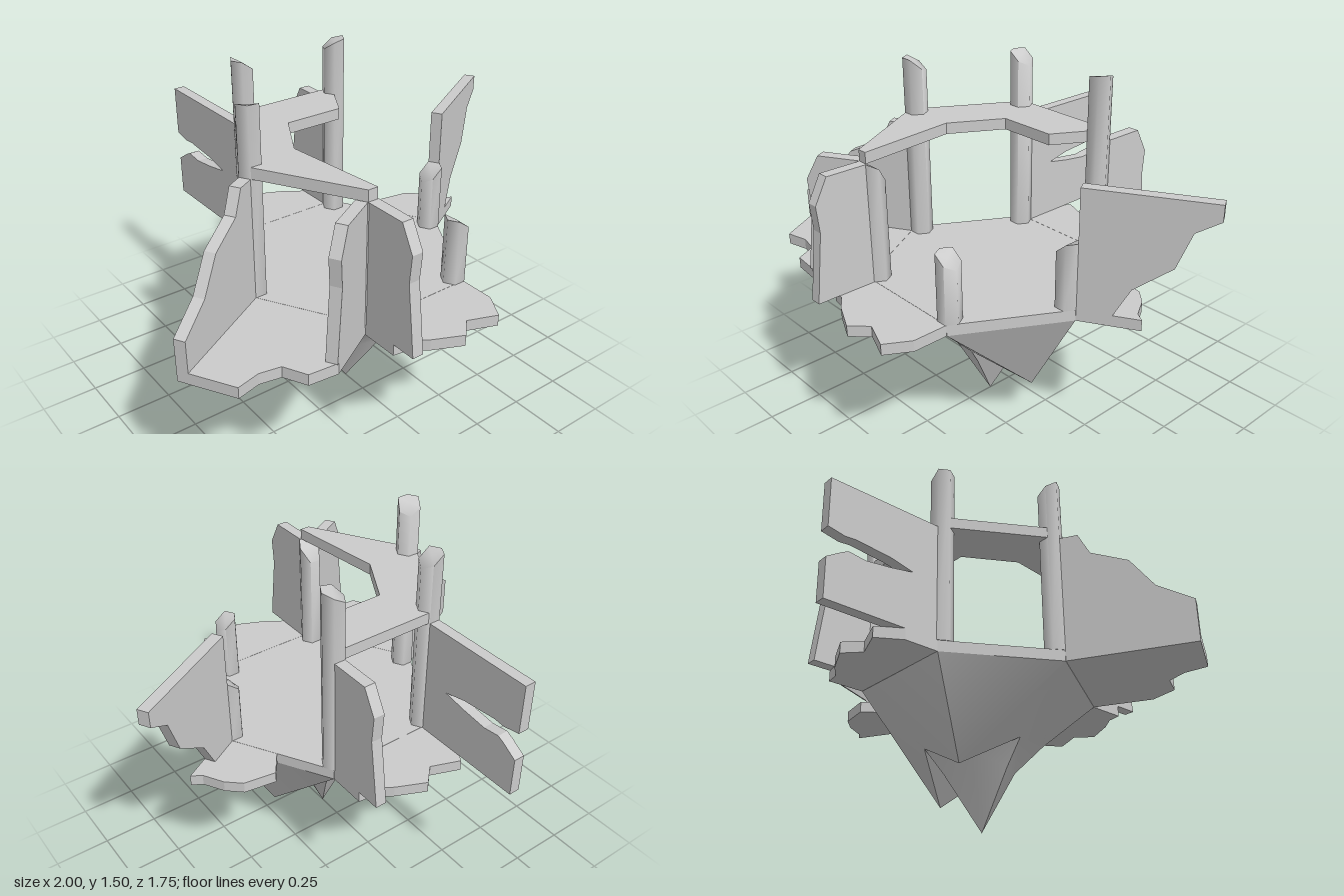
import * as THREE from 'three';
import { toCreasedNormals } from 'three/addons/utils/BufferGeometryUtils.js';

const CZ = 0.12;        // centre of the hexagon in z
const R = 0.53;         // hexagon corner radius
const APO = 0.46;       // hexagon centre to side
const FLOOR = 0.66, SLAB = 0.05, WALL_TOP = 1.2;
const mat = new THREE.MeshStandardMaterial({ color: 0xcccccc });
const matBoth = new THREE.MeshStandardMaterial({ color: 0xcccccc, side: THREE.DoubleSide });

function mesh(name, geo, material = mat) {
  const m = new THREE.Mesh(geo, material);
  m.name = name;
  return m;
}

function extrude(points, depth) {
  const shape = new THREE.Shape(points.map(p => new THREE.Vector2(p[0], p[1])));
  return new THREE.ExtrudeGeometry(shape, { depth, bevelEnabled: false });
}

// Flat slab from an (x, z) outline, with its top at the given height
function plate(name, points, top) {
  const g = extrude(points, SLAB);
  g.rotateX(Math.PI / 2);
  g.translate(0, top, 0);
  return mesh(name, g);
}

// Upright panel from an (outward, y) outline, standing along a cell side
function wall(name, points, x) {
  const g = extrude(points, 0.05);
  g.rotateY(-Math.PI / 2);
  g.translate(x + 0.025, 0, APO);
  return mesh(name, g);
}

// Hexagonal column whose top is a slanted break
function pillar(name, x, z, high, low, dir) {
  const g = new THREE.CylinderGeometry(0.052, 0.052, high - FLOOR, 6, 1);
  g.rotateY(Math.PI / 6);
  g.translate(0, (high + FLOOR) / 2, 0);
  const p = g.attributes.position;
  for (let i = 0; i < p.count; i++) {
    if (p.getY(i) < FLOOR + 0.01) continue;
    const t = (p.getX(i) * Math.cos(dir) + p.getZ(i) * Math.sin(dir)) / 0.052;
    p.setY(i, high - (high - low) * Math.max(0, 0.35 - t) / 1.35);
  }
  const m = mesh(name, toCreasedNormals(g, 1.1));
  m.position.set(x, 0, z);
  return m;
}

// Hanging rock: one central spike and side spikes on every other corner
function rock() {
  const peaks = { 0: [0.28, 0.17, 0.15, 0.35], 2: [0.28, 0.40, 0.15, 0.27], 4: [0.28, 0.22, 0.15, 0.33] };
  const y0 = FLOOR - SLAB;
  const pos = [], index = [];
  for (let k = 0; k < 6; k++) {
    const [r1, y1, r2, y2] = peaks[k] || [0.25, 0.36, 0.165, 0.25];
    const a = k * Math.PI / 3, c = Math.cos(a), s = Math.sin(a);
    for (const [r, y] of [[R, y0], [r1, y1], [r2, y2]]) pos.push(r * c, y, r * s);
  }
  pos.push(0, 0, 0);
  for (let k = 0; k < 6; k++) {
    const a = k * 3, b = ((k + 1) % 6) * 3;
    for (let j = 0; j < 2; j++) {
      // split each quad from the corner that carries the spike
      if (k % 2 === 0) index.push(a + j, b + j, a + j + 1, b + j, b + j + 1, a + j + 1);
      else index.push(a + j, b + j, b + j + 1, a + j, b + j + 1, a + j + 1);
    }
    index.push(a + 2, b + 2, 18);
  }
  const g = new THREE.BufferGeometry();
  g.setAttribute('position', new THREE.Float32BufferAttribute(pos, 3));
  g.setIndex(index);
  return mesh('hangingRock', toCreasedNormals(g, 0.7), matBoth);
}

// Panel outlines: distance outward, height
const brokenWall = [[0, FLOOR], [0.28, FLOOR], [0.265, 0.78], [0.24, 0.97], [0.25, 1.09], [0.19, WALL_TOP], [0, WALL_TOP]];
const slopedWall = [[0, FLOOR], [0.54, FLOOR], [0.54, 0.8], [0.39, 0.89], [0.29, 1.03], [0.13, 1.1], [0.08, WALL_TOP], [0, WALL_TOP]];
const overhangWall = [[0, FLOOR], [0.15, FLOOR], [0.22, 0.79], [0.38, 0.91], [0.44, 1.07], [0.54, 1.13], [0.54, WALL_TOP], [0, WALL_TOP]];
const splitWall = [[0, FLOOR], [0.54, FLOOR], [0.54, 0.84], [0.47, 0.885], [0.44, 0.9], [0.36, 0.89], [0.24, 0.905],
  [0.13, 0.925], [0.24, 0.95], [0.41, 0.965], [0.46, 0.96], [0.54, 0.975], [0.54, WALL_TOP], [0, WALL_TOP]];

// Broken floor edges: sideways, distance outward
const raggedFloor = [[-0.265, 0.17], [-0.2, 0.18], [-0.13, 0.23], [0, 0.29], [0.07, 0.22], [0.2, 0.27], [0.265, 0.16]];
const wideFloor = [[-0.265, 0.54], [-0.01, 0.54], [0.02, 0.44], [0.08, 0.37], [0.19, 0.375], [0.265, 0.27]];
const smallFloor = [[-0.265, 0.27], [-0.22, 0.245], [-0.12, 0.245], [-0.04, 0.22], [0.05, 0.11], [0, 0]];

// Ruined side rooms: name, turn in degrees, floor edge, panels [outline, side]
const rooms = [
  ['frontRoom', 0, raggedFloor, [[brokenWall, -1]]],
  ['rightRoom', -60, wideFloor, [[slopedWall, -1], [brokenWall, 1]]],
  ['leftRoom', 120, smallFloor, [[overhangWall, -1]]],
  ['backRoom', 180, raggedFloor, [[splitWall, 1], [brokenWall, -1]]],
];

// Columns: name, x, z, high side, low side, direction of the high side
const pillars = [
  ['backRightPillar', -0.24, -0.3, 1.5, 1.44, Math.PI],
  ['backLeftPillar', 0.24, -0.3, 1.5, 1.45, 0.6],
  ['rightPillar', -0.48, 0.12, 1.5, 1.44, 2.3],
  ['leftPillar', 0.48, 0.12, 0.96, 0.89, 0],
  ['frontLeftPillar', 0.24, 0.54, 0.96, 0.9, Math.PI],
  ['frontRightPillar', -0.24, 0.54, 1.2, 1.1, Math.PI / 2],
];

export function createModel() {
  const model = new THREE.Group();
  model.name = 'floatingRuin';

  // Main hexagonal floor
  const hex = [];
  for (let k = 0; k < 6; k++) {
    const a = k * Math.PI / 3;
    hex.push([R * Math.cos(a), CZ + R * Math.sin(a)]);
  }
  model.add(plate('mainFloor', hex, FLOOR));

  // Side rooms on four of the six sides
  for (const [name, deg, edge, panels] of rooms) {
    const room = new THREE.Group();
    room.name = name;
    const outline = [[-0.265, APO], ...edge.map(([x, u]) => [x, APO + u])];
    if (edge !== smallFloor) outline.push([0.265, APO]);
    room.add(plate('brokenFloor', outline, FLOOR));
    for (const [profile, side] of panels) room.add(wall('brokenWall', profile, side * 0.24));
    room.position.z = CZ;
    room.rotation.y = THREE.MathUtils.degToRad(deg);
    model.add(room);
  }

  for (const p of pillars) model.add(pillar(...p));

  // Remains of the upper ring
  model.add(plate('upperRing', [
    [-0.265, 0.58], [-0.53, 0.12], [-0.265, -0.34], [0.26, -0.34], [0.21, -0.25],
    [0.13, -0.11], [-0.14, -0.11], [-0.27, 0.12], [-0.22, 0.58],
  ], 1.25));

  const base = rock();
  base.position.z = CZ;
  model.add(base);
  return model;
}
